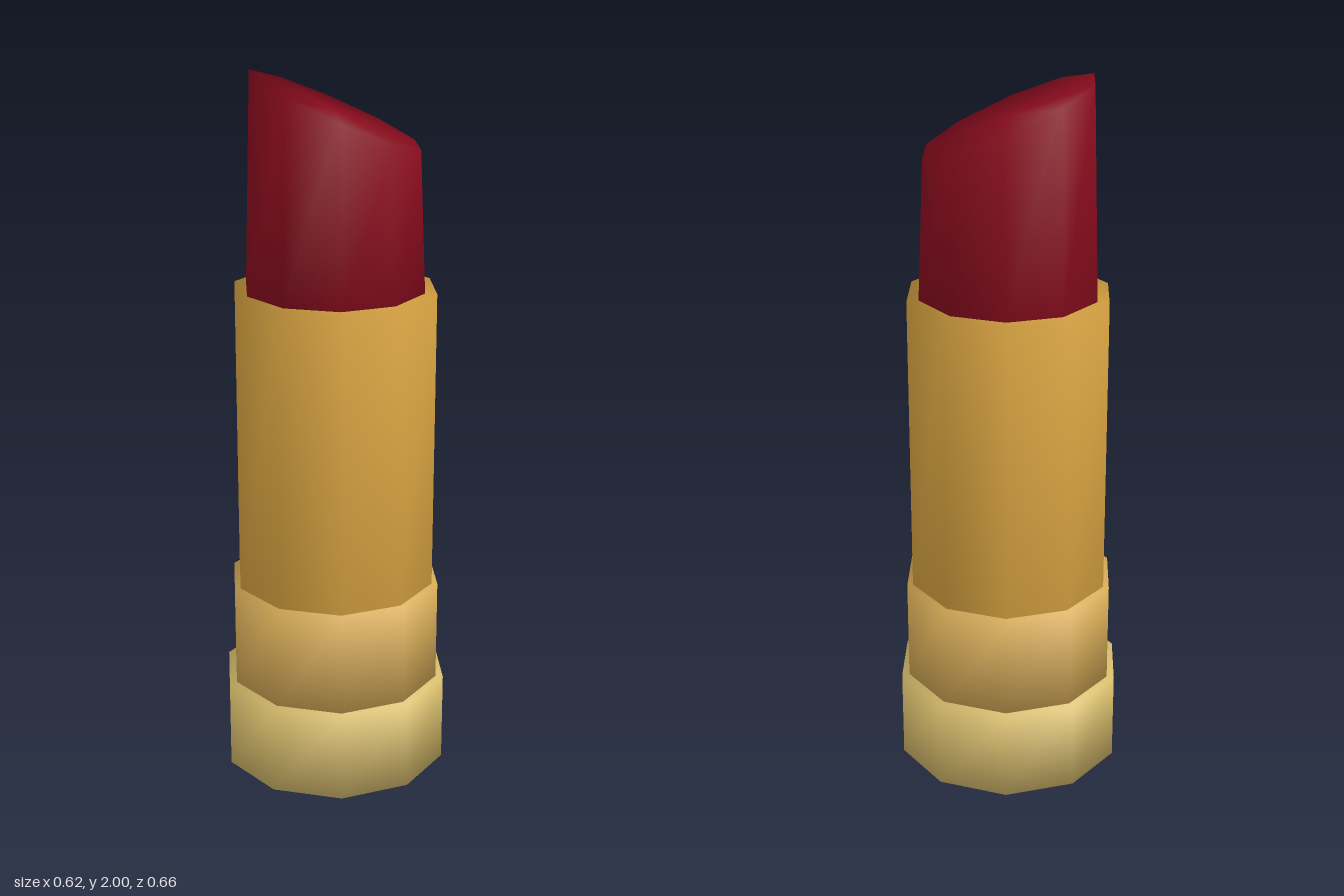
import * as THREE from 'three';
import { mergeVertices } from 'three/addons/utils/BufferGeometryUtils.js';

const SIDES = 10;

// Closed ten-sided drum whose shared vertices give soft shading over the rims
function drum(name, radius, bottom, top, color, shape) {
  let geometry = new THREE.CylinderGeometry(radius, radius, top - bottom, SIDES);
  geometry.translate(0, (top + bottom) / 2, 0);
  geometry.deleteAttribute('uv');
  geometry.deleteAttribute('normal');
  geometry = mergeVertices(geometry, 1e-4);
  if (shape) shape(geometry.attributes.position);
  geometry.computeVertexNormals();
  const mesh = new THREE.Mesh(geometry, new THREE.MeshStandardMaterial({ color }));
  mesh.name = name;
  return mesh;
}

// Slants the top of the stick down towards +x and narrows it slightly
function slantTop(position) {
  for (let i = 0; i < position.count; i++) {
    if (position.getY(i) < 1.6) continue;
    const x = position.getX(i) * 0.93;
    position.setX(i, x);
    position.setY(i, 1.905 - x * 0.43);
  }
}

export function createModel() {
  const group = new THREE.Group();
  group.name = 'lipstick';
  group.add(
    drum('base', 0.328, 0, 0.26, 0xd8bd6c),
    drum('collar', 0.306, 0.26, 0.555, 0xd9ad58),
    drum('tube', 0.289, 0.555, 1.415, 0xd9a441),
    drum('stick', 0.255, 1.415, 1.905, 0x8a0c1e, slantTop)
  );
  return group;
}
